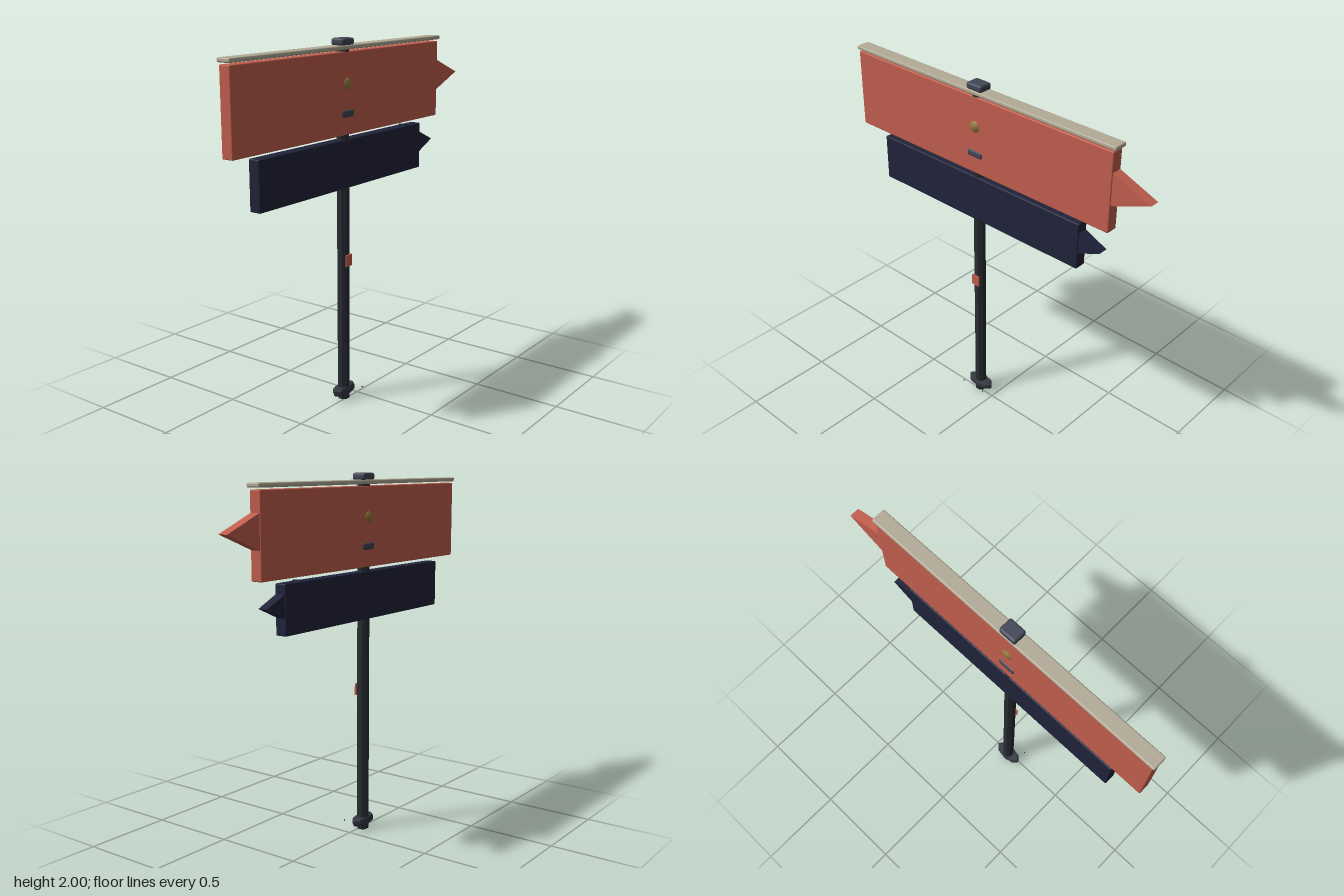
import * as THREE from 'three';
import { RoundedBoxGeometry } from 'three/addons/geometries/RoundedBoxGeometry.js';

const CX = -0.015; // centre plane of the boards
const CZ = 0.104; // post axis

const paint = (color, extra = {}) => new THREE.MeshStandardMaterial({ color, ...extra });

export function createModel() {
  const model = new THREE.Group();
  model.name = 'signpost';
  const red = paint(0xc25f4e);
  const navy = paint(0x20233a);
  const iron = paint(0x272b31, { flatShading: true });
  const metal = paint(0x424656);
  const cream = paint(0xb3ab97);
  const brass = paint(0x94793a);

  const add = (name, geometry, material, x, y, z) => {
    const mesh = new THREE.Mesh(geometry, material);
    mesh.name = name;
    mesh.position.set(x, y, z);
    model.add(mesh);
    return mesh;
  };

  // softly bevelled box given by its y and z limits
  const block = (name, material, width, y0, y1, z0, z1, bevel = 0.006) =>
    add(name, new RoundedBoxGeometry(width, y1 - y0, z1 - z0, 2, bevel), material,
      CX, (y0 + y1) / 2, (z0 + z1) / 2);

  // triangular pointer prism aimed at -z
  const pointer = (name, material, y, zTip, length, half) => {
    const shape = new THREE.Shape([
      new THREE.Vector2(-zTip, y),
      new THREE.Vector2(-zTip - length, y + half),
      new THREE.Vector2(-zTip - length, y - half),
    ]);
    const depth = 0.054;
    const geometry = new THREE.ExtrudeGeometry(shape, { depth, bevelEnabled: false });
    geometry.rotateY(Math.PI / 2);
    add(name, geometry, material, CX - depth / 2, 0, 0);
  };

  // eight-sided post
  const post = new THREE.CylinderGeometry(0.034, 0.034, 1.94, 8);
  post.rotateY(Math.PI / 8);
  add('post', post, iron, CX, 0.975, CZ);

  // flattened eight-sided foot with chamfered rims
  const rim = [[0, 0], [0.077, 0], [0.087, 0.01], [0.087, 0.032], [0.077, 0.042], [0, 0.042]];
  const foot = new THREE.LatheGeometry(rim.map(([r, y]) => new THREE.Vector2(r, y)), 8);
  foot.scale(0.46, 1, 1);
  add('foot', foot, paint(0x343841, { flatShading: true }), CX, 0.032, CZ);
  const stub = new THREE.CylinderGeometry(0.034, 0.028, 0.006, 8);
  stub.rotateY(Math.PI / 8);
  add('postEnd', stub, iron, CX, 0.003, CZ);

  // anchor bolts beside the foot
  for (const side of [-1, 1]) {
    add('bolt', new THREE.SphereGeometry(0.004, 8, 6), iron, 0.056, 0.055, CZ - 0.003 + side * 0.076);
  }

  // upper board with rail and pointer
  block('upperBoard', red, 0.066, 1.5, 1.932, -0.76, 0.972);
  pointer('upperPointer', red, 1.737, -0.98, 0.4, 0.159);
  block('topRail', cream, 0.08, 1.941, 1.964, -0.775, 0.98, 0.008);

  // lower board with pointer
  block('lowerBoard', navy, 0.066, 1.215, 1.476, -0.588, 0.796);
  pointer('lowerPointer', navy, 1.365, -0.72, 0.265, 0.118);

  // clamps and central boss
  block('finial', metal, 0.08, 1.963, 2.0, 0.053, 0.154, 0.012);
  block('clamp', metal, 0.08, 1.592, 1.632, 0.053, 0.154, 0.012);
  add('boss', new THREE.SphereGeometry(0.046, 24, 16), brass, CX, 1.767, CZ);

  // small tag on the post
  add('tag', new THREE.BoxGeometry(0.008, 0.064, 0.048), red, 0.021, 0.815, CZ);

  return model;
}
